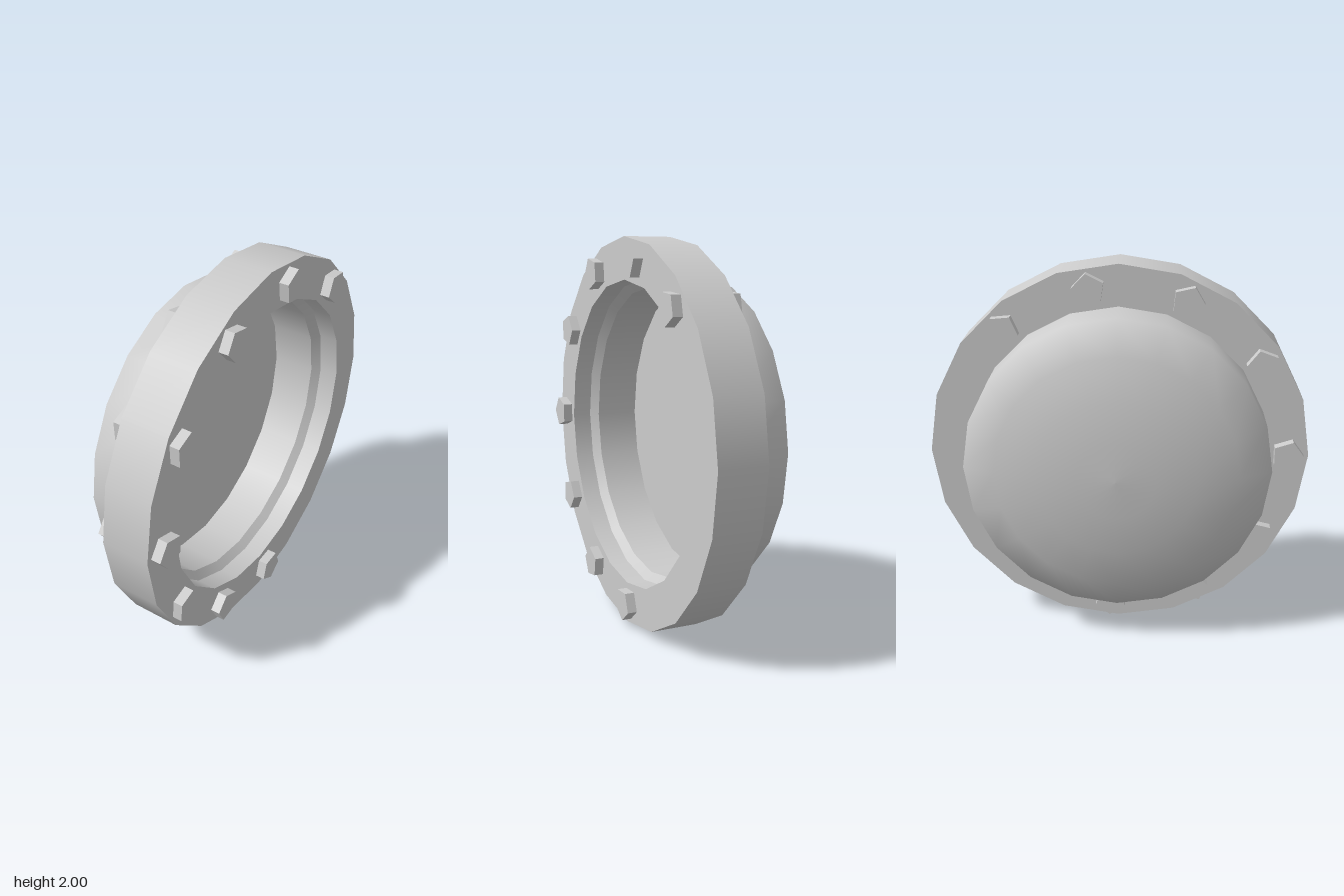
import * as THREE from 'three';

const SIDES = 20;
const material = new THREE.MeshStandardMaterial({ color: 0xcccccc, side: THREE.DoubleSide });
const flatMaterial = new THREE.MeshStandardMaterial({ color: 0xcccccc, flatShading: true });

// Each profile is a list of [radius, position along the axis]; separate profiles keep a sharp edge between them.
function turned(name, ...profiles) {
  const part = new THREE.Group();
  part.name = name;
  for (const profile of profiles) {
    const points = profile.map(([r, h]) => new THREE.Vector2(r, h));
    const mesh = new THREE.Mesh(new THREE.LatheGeometry(points, SIDES), material);
    mesh.name = name + 'Surface';
    part.add(mesh);
  }
  return part;
}

export function createModel() {
  const hatch = new THREE.Group();
  hatch.name = 'portholeCover';

  // Flange ring: back face, rim, front face and bore
  hatch.add(turned('flangeRing',
    [[0.787, 0.05], [1, 0.05]],
    [[1, 0.05], [1, 0.3]],
    [[1, 0.3], [0.787, 0.3]],
    [[0.787, 0.3], [0.787, 0.2]]));

  // Recess: sloped lip, wall and flat floor
  hatch.add(turned('recess',
    [[0.787, 0.2], [0.749, 0.16]],
    [[0.749, 0.16], [0.749, -0.07]],
    [[0.749, -0.07], [0, -0.07]]));

  // Rounded cap with a straight collar
  hatch.add(turned('domedCap',
    [[0, -0.35], [0.2, -0.342], [0.41, -0.315], [0.62, -0.26], [0.787, -0.18], [0.787, 0.06]]));

  // Five-sided bolts through the flange, with a gap on one side; angles in degrees
  const boltGeometry = new THREE.CylinderGeometry(0.085, 0.085, 0.35, 5);
  boltGeometry.translate(0, 0.175, 0.887);
  for (const angle of [131.5, 99.7, 67, 34, 0.5, -31.5, -62.3, -92.8]) {
    const bolt = new THREE.Mesh(boltGeometry, flatMaterial);
    bolt.name = 'bolt';
    bolt.rotation.y = -THREE.MathUtils.degToRad(angle);
    hatch.add(bolt);
  }

  // Lay the turning axis along x and stand the rim on the ground
  hatch.rotation.z = -Math.PI / 2;
  hatch.position.y = 1;

  const model = new THREE.Group();
  model.name = 'model';
  model.add(hatch);
  return model;
}
